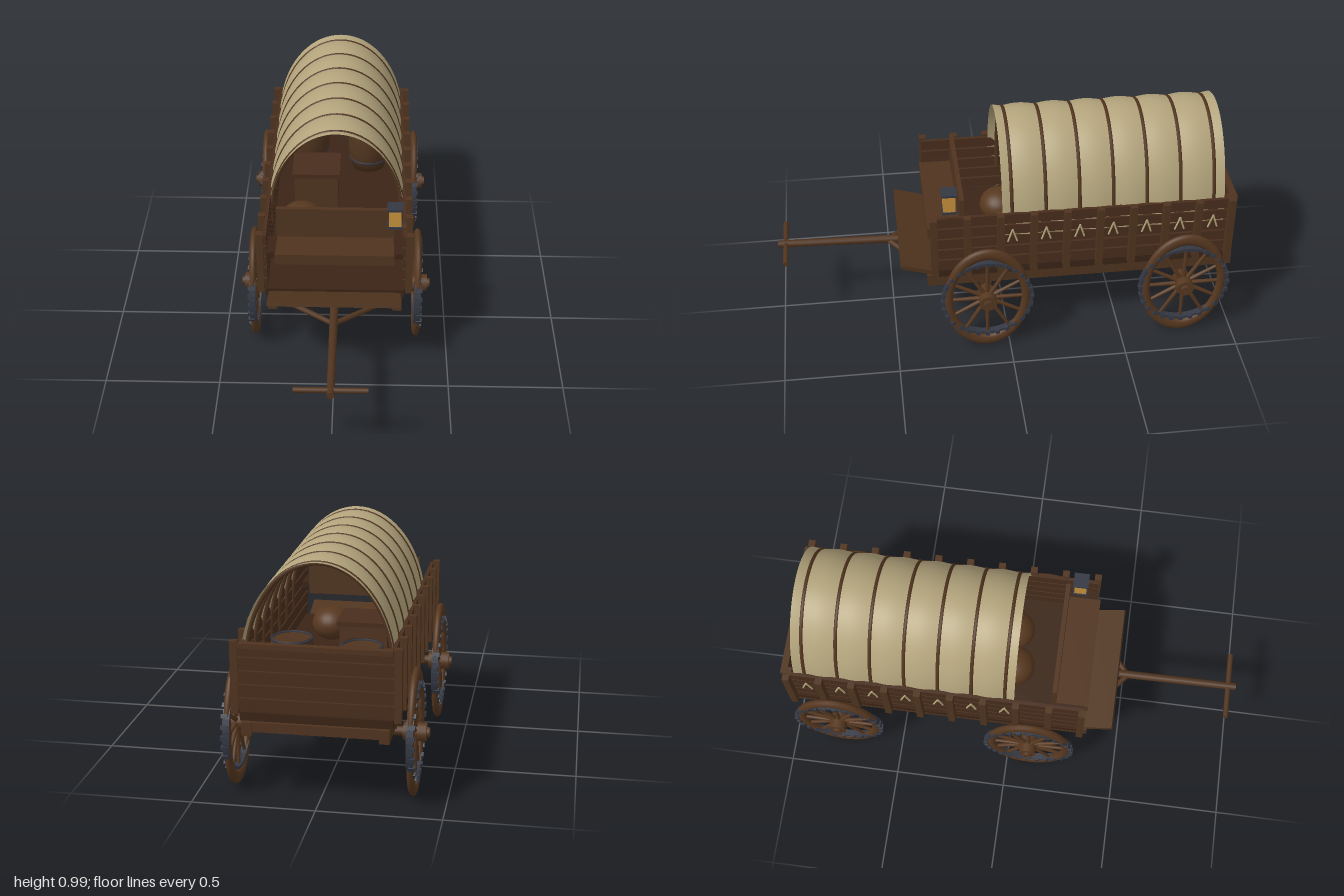
import * as THREE from 'three';
import { ParametricGeometry } from 'three/addons/geometries/ParametricGeometry.js';

const mat = (name, color, side = THREE.FrontSide) => {
  const m = new THREE.MeshStandardMaterial({ color, side });
  m.name = name;
  return m;
};

export function createModel() {
  const wood = mat('wood', 0x50341f);
  const boardWood = mat('board wood', 0x482d1c);
  const darkWood = mat('dark wood', 0x3a2416);
  const wheelWood = mat('wheel wood', 0x573820);
  const canvas = mat('canvas', 0xb3a47c, THREE.DoubleSide);
  const rope = mat('rope', 0xb5a67a);
  const iron = mat('iron', 0x343843);
  const amber = mat('amber glass', 0xc8923a);
  const burlap = mat('burlap', 0x57381f);

  const model = new THREE.Group();
  model.name = 'coveredWagon';
  const V = (x, y, z) => new THREE.Vector3(x, y, z);

  const add = (name, geo, material, x = 0, y = 0, z = 0, parent = model) => {
    const m = new THREE.Mesh(geo, material);
    m.name = name;
    m.position.set(x, y, z);
    parent.add(m);
    return m;
  };
  const box = (name, material, w, h, d, x, y, z, parent) =>
    add(name, new THREE.BoxGeometry(w, h, d), material, x, y, z, parent);
  // round rod between two points
  const rod = (name, material, a, b, ra, rb = ra, parent = model) => {
    const dir = b.clone().sub(a);
    const m = add(name, new THREE.CylinderGeometry(rb, ra, dir.length(), 14), material, 0, 0, 0, parent);
    m.position.copy(a).add(b).multiplyScalar(0.5);
    m.quaternion.setFromUnitVectors(V(0, 1, 0), dir.normalize());
    return m;
  };

  // ---- chassis ----
  box('floor', darkWood, 0.6, 0.035, 1.3, 0, 0.372, -0.325);
  for (const s of [-1, 1]) box('sill', wood, 0.04, 0.055, 1.35, s * 0.27, 0.328, -0.322);
  for (const z of [0.32, -0.97]) box('crossBeam', wood, 0.52, 0.04, 0.04, 0, 0.335, z);

  // ---- sides: planks, stakes ----
  const rows = [0, 1, 2, 3, 4].map(i => 0.4235 + i * 0.0555);
  for (const s of [-1, 1]) {
    for (const y of rows) box('sidePlank', boardWood, 0.016, 0.047, 1.31, s * 0.298, y, -0.325);
    for (let i = 0; i < 10; i++)
      box('sideStake', wood, 0.03, 0.297, 0.03, s * 0.319, 0.53, 0.322 - i * 0.143);
  }

  // ---- tailgate ----
  for (const y of rows) box('tailPlank', boardWood, 0.58, 0.05, 0.018, 0, y, -0.972);
  for (const s of [-1, 1]) box('tailCorner', wood, 0.03, 0.285, 0.018, s * 0.285, 0.53, -0.955);
  box('tailTopRail', wood, 0.6, 0.02, 0.03, 0, 0.665, -0.978);

  // ---- seat and footboard ----
  box('seatBoard', wood, 0.51, 0.05, 0.155, 0, 0.557, 0.267);
  box('seatBack', wood, 0.51, 0.145, 0.02, 0, 0.65, 0.195);
  for (const s of [-1, 1]) box('seatCleat', darkWood, 0.04, 0.025, 0.13, s * 0.272, 0.57, 0.265);
  const foot = box('footboard', wood, 0.57, 0.02, 0.145, 0, 0.388, 0.395);
  foot.rotation.x = -0.3;

  // ---- tongue ----
  rod('tongue', wood, V(0, 0.345, 0.28), V(0, 0.366, 1.0), 0.019, 0.016);
  rod('tongueCrossbar', wood, V(-0.15, 0.366, 0.965), V(0.15, 0.366, 0.965), 0.012);
  for (const s of [-1, 1]) rod('tongueBrace', wood, V(0, 0.345, 0.51), V(s * 0.25, 0.325, 0.3), 0.012);

  // ---- axles and wheels ----
  const ringSection = [[0.186, -0.014], [0.198, -0.014], [0.198, 0.014], [0.186, 0.014], [0.186, -0.014]]
    .map(p => new THREE.Vector2(...p));
  const makeWheel = (s, z) => {
    const wheel = new THREE.Group();
    wheel.name = 'wheel';
    wheel.position.set(s * 0.362, 0.27, z);
    // tall oval wooden rim
    const rimGeo = new THREE.TorusGeometry(0.17, 0.02, 12, 48);
    rimGeo.scale(1, 1.4, 0.8);
    rimGeo.rotateY(Math.PI / 2);
    add('rim', rimGeo, wheelWood, 0, 0, 0, wheel);
    // round iron tyre with studs
    const tyre = new THREE.LatheGeometry(ringSection, 48).toNonIndexed();
    tyre.computeVertexNormals();
    tyre.rotateZ(Math.PI / 2);
    add('ironTyre', tyre, iron, 0, 0, 0, wheel);
    for (let i = 0; i < 28; i++) {
      const a = (i / 28) * Math.PI * 2;
      const stud = box('stud', iron, 0.026, 0.018, 0.018, s * 0.008, Math.cos(a) * 0.194, Math.sin(a) * 0.194, wheel);
      stud.rotation.x = a;
    }
    for (let i = 0; i < 12; i++) {
      const a = (i / 12) * Math.PI * 2, c = Math.cos(a), n = Math.sin(a);
      rod('spoke', wheelWood, V(0, c * 0.03, n * 0.03), V(0, c * 0.19, n * 0.19), 0.01, 0.007, wheel);
    }
    rod('hub', wheelWood, V(-s * 0.046, 0, 0), V(s * 0.046, 0, 0), 0.038, 0.038, wheel);
    rod('hubCap', wheelWood, V(s * 0.04, 0, 0), V(s * 0.058, 0, 0), 0.02, 0.02, wheel);
    model.add(wheel);
  };
  for (const z of [0.1, -0.77]) {
    rod('axle', wood, V(-0.35, 0.27, z), V(0.35, 0.27, z), 0.02);
    box('bolster', wood, 0.58, 0.025, 0.05, 0, 0.297, z);
    makeWheel(1, z);
    makeWheel(-1, z);
  }

  // ---- bows and canvas cover ----
  const bowZ = i => -0.016 - i * 0.1457;
  const A0 = -0.12, A1 = Math.PI + 0.12;
  const arch = (t, rx, ry, z, out = new THREE.Vector3()) => {
    const a = A0 + (A1 - A0) * t;
    return out.set(Math.cos(a) * rx, 0.56 + Math.sin(a) * ry, z);
  };
  for (let i = 0; i < 7; i++) {
    const pts = [];
    for (let k = 0; k <= 24; k++) pts.push(arch(k / 24, 0.291, 0.418, bowZ(i)));
    add('bow', new THREE.TubeGeometry(new THREE.CatmullRomCurve3(pts), 48, 0.01, 8), wood);
    // rope ties on both sides
    for (const s of [-1, 1]) for (const d of [-1, 1])
      rod('ropeTie', rope, V(s * 0.309, 0.592, bowZ(i)), V(s * 0.309, 0.53, bowZ(i) + d * 0.02), 0.004);
  }
  // cover swells gently between the bows
  const cover = new ParametricGeometry((u, v, out) => {
    const z = 0.026 - v * 0.962;
    const swell = 0.009 * Math.abs(Math.sin(Math.PI * (z + 0.016) / 0.1457));
    arch(u, 0.295 + swell, 0.423 + swell, z, out);
  }, 40, 80);
  add('canvasCover', cover, canvas);

  // ---- lantern ----
  const lantern = new THREE.Group();
  lantern.name = 'lantern';
  lantern.position.set(0.255, 0, 0.25);
  model.add(lantern);
  box('lanternGlass', amber, 0.052, 0.085, 0.052, 0, 0.727, 0, lantern);
  box('lanternBase', iron, 0.062, 0.01, 0.062, 0, 0.681, 0, lantern);
  box('lanternCap', iron, 0.066, 0.01, 0.066, 0, 0.77, 0, lantern);
  box('lanternBracket', wood, 0.05, 0.01, 0.04, 0.025, 0.672, 0, lantern);

  // ---- cargo ----
  for (const [x, z, r] of [[-0.16, -0.12, 0.1], [-0.06, 0.0, 0.088], [0.11, -0.02, 0.088]]) {
    const sack = add('sack', new THREE.SphereGeometry(r, 24, 16), burlap, x, 0.462, z);
    sack.scale.y = 0.075 / r;
  }
  box('crate', wood, 0.2, 0.2, 0.18, -0.1, 0.49, -0.36);
  box('crateLid', boardWood, 0.22, 0.02, 0.2, -0.1, 0.6, -0.36);
  const stave = [[0, 0], [0.08, 0], [0.094, 0.06], [0.1, 0.12], [0.094, 0.18], [0.08, 0.24], [0.08, 0.23], [0, 0.23]]
    .map(p => new THREE.Vector2(...p));
  for (const [x, z] of [[0.14, -0.73], [-0.15, -0.79]]) {
    add('barrel', new THREE.LatheGeometry(stave, 24), wood, x, 0.39, z);
    for (const [y, r] of [[0.05, 0.09], [0.19, 0.09], [0.232, 0.08]]) {
      const hoop = add('barrelHoop', new THREE.TorusGeometry(r, 0.006, 6, 28), iron, x, 0.39 + y, z);
      hoop.rotation.x = Math.PI / 2;
    }
  }
  return model;
}
